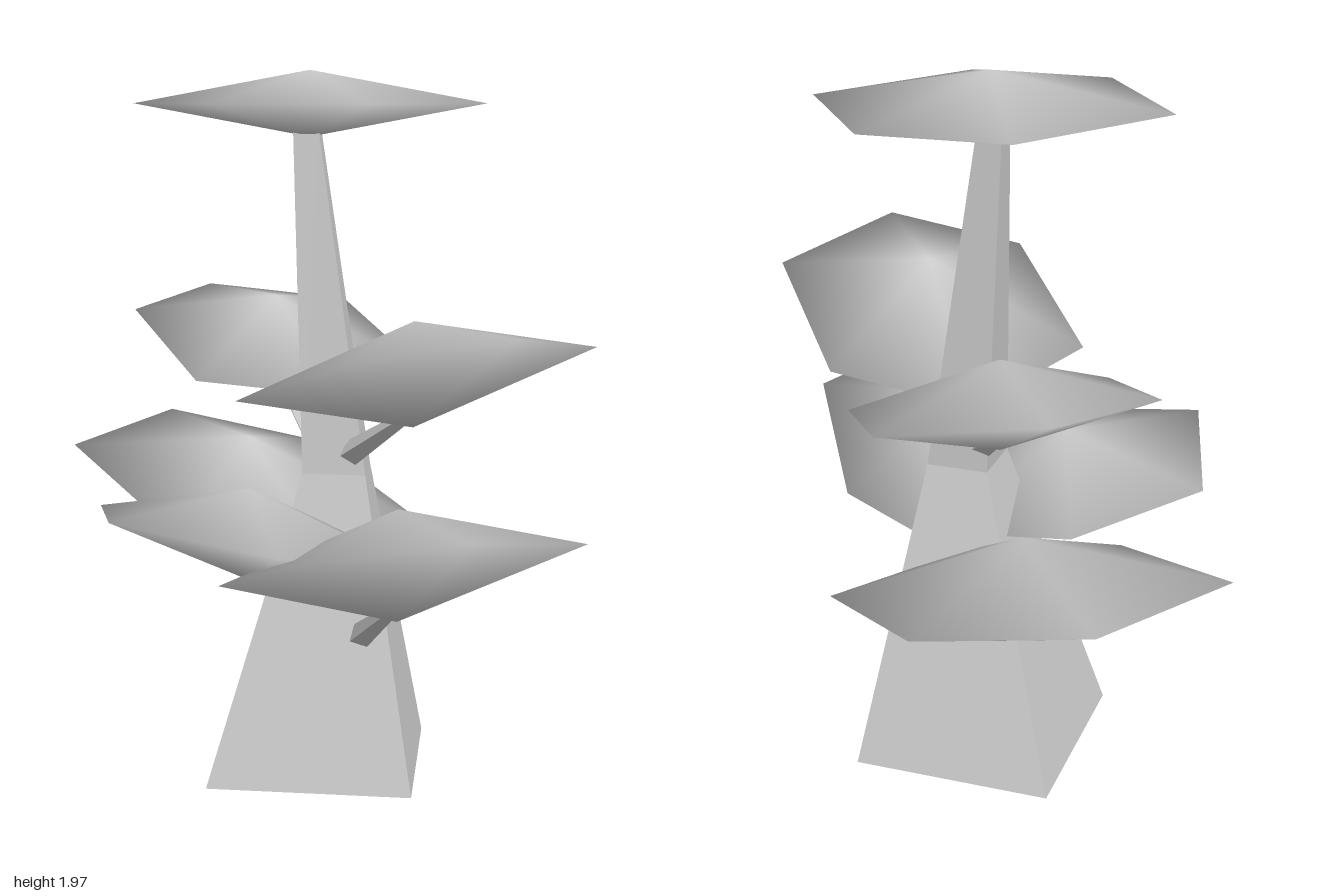
import * as THREE from 'three';

const smooth = new THREE.MeshStandardMaterial({ color: 0xcccccc, side: THREE.DoubleSide });
const faceted = new THREE.MeshStandardMaterial({ color: 0xcccccc, side: THREE.DoubleSide, flatShading: true });

// Foliage pads: centre, half height, and three rim offsets (clockwise from above);
// the other three rim corners mirror them through the centre.
const PADS = [
  { name: 'crownFoliage', c: [0.01, 1.884, -0.092], h: 0.09,
    rim: [[-0.13, 0, -0.43], [0.31, 0, -0.372], [0.392, 0, 0.13]] },
  { name: 'upperRightFoliage', c: [-0.33, 1.195, -0.235], h: 0.125,
    rim: [[-0.31, 0.075, 0.295], [-0.435, 0.12, -0.075], [-0.19, 0.07, -0.425]] },
  { name: 'upperLeftFoliage', c: [0.46, 1.19, -0.08], h: 0.14,
    rim: [[0.33, 0.08, -0.335], [0.455, 0.147, 0.075], [0.18, 0.08, 0.385]] },
  { name: 'lowerRightFoliage', c: [-0.452, 0.72, -0.23], h: 0.152,
    rim: [[-0.39, 0.115, 0.39], [-0.545, 0.157, -0.085], [-0.215, 0.065, -0.415]] },
  { name: 'lowerLeftFoliage', c: [0.535, 0.71, 0.035], h: 0.15,
    rim: [[0.39, 0.09, -0.29], [0.465, 0.177, 0.18], [0.07, 0.078, 0.395]] },
  { name: 'lowerFrontFoliage', c: [0.12, 0.738, 0.2], h: 0.128,
    rim: [[0.355, 0.03, 0.175], [0.01, 0.1, 0.455], [-0.385, 0.045, 0.23]] },
];

// Branches: from trunk to the underside of a pad
const BRANCHES = [
  { name: 'upperRightBranch', from: [0.0, 0.93, -0.13], to: [-0.33, 1.1, -0.235] },
  { name: 'upperLeftBranch', from: [0.16, 0.93, -0.12], to: [0.46, 1.09, -0.08] },
  { name: 'lowerRightBranch', from: [-0.15, 0.48, -0.15], to: [-0.45, 0.61, -0.23] },
  { name: 'lowerLeftBranch', from: [0.255, 0.435, -0.08], to: [0.535, 0.6, 0.035] },
  { name: 'lowerFrontBranch', from: [0.14, 0.56, 0.02], to: [0.12, 0.65, 0.2] },
];

// Six-sided double pyramid with shared, softened normals
function makePad({ name, c, h, rim }) {
  const corners = [...rim, ...rim.map((v) => v.map((n) => -n))];
  const points = [...corners, [0, h, 0], [0, -h, 0]];
  const index = [];
  for (let i = 0; i < 6; i++) {
    const j = (i + 1) % 6;
    index.push(6, j, i, 7, i, j);
  }
  const geo = new THREE.BufferGeometry();
  geo.setAttribute('position', new THREE.Float32BufferAttribute(points.flat(), 3));
  geo.setIndex(index);
  geo.computeVertexNormals();
  const mesh = new THREE.Mesh(geo, smooth);
  mesh.name = name;
  mesh.position.set(...c);
  return mesh;
}

// Thin four-sided tapering stick between two points
function makeBranch({ name, from, to }) {
  const a = new THREE.Vector3(...from);
  const b = new THREE.Vector3(...to);
  const dir = b.clone().sub(a);
  const mesh = new THREE.Mesh(new THREE.CylinderGeometry(0.015, 0.036, dir.length(), 4), faceted);
  mesh.name = name;
  mesh.position.copy(a).add(b).multiplyScalar(0.5);
  mesh.quaternion.setFromUnitVectors(new THREE.Vector3(0, 1, 0), dir.normalize());
  return mesh;
}

// Four-sided bent trunk, open at the base; rings run from top to bottom
function makeTrunk() {
  const rings = [
    { x: 0.002, y: 1.81, z: -0.09, r: 0.05 },
    { x: 0.073, y: 0.87, z: -0.142, r: 0.124 },
    { x: 0.015, y: 0, z: -0.127, r: 0.405 },
  ];
  const geo = new THREE.CylinderGeometry(1, 1, 2, 4, 2, true);
  const pos = geo.attributes.position;
  for (let i = 0; i < pos.count; i++) {
    const k = rings[Math.round(1 - pos.getY(i))];
    pos.setXYZ(i, k.x + pos.getX(i) * k.r, k.y, k.z + pos.getZ(i) * k.r);
  }
  const flat = geo.toNonIndexed();
  flat.computeVertexNormals();
  const mesh = new THREE.Mesh(flat, faceted);
  mesh.name = 'trunk';
  return mesh;
}

export function createModel() {
  const tree = new THREE.Group();
  tree.name = 'tree';
  tree.add(makeTrunk(), ...BRANCHES.map(makeBranch), ...PADS.map(makePad));
  return tree;
}
